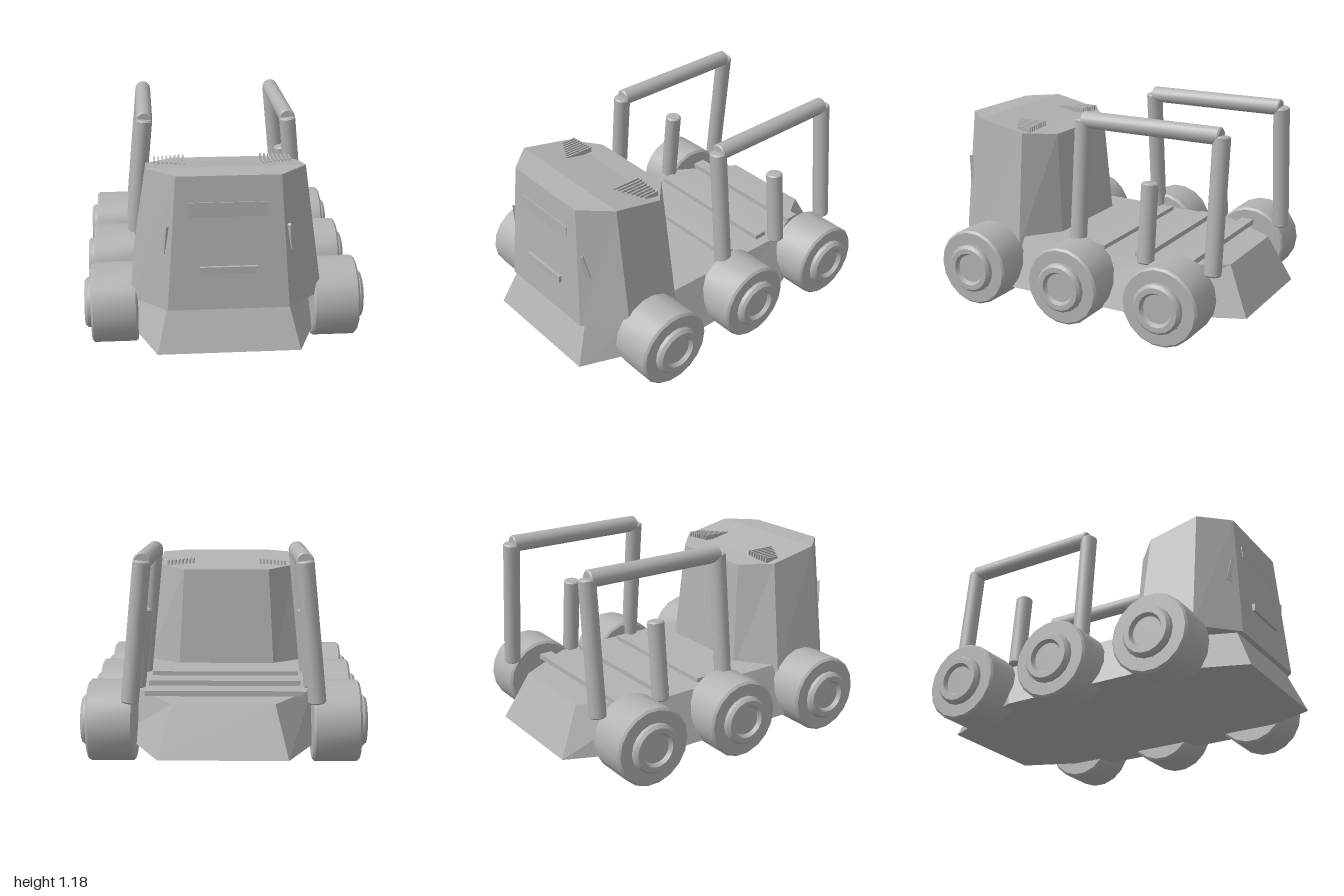
import * as THREE from 'three';
import { toCreasedNormals } from 'three/addons/utils/BufferGeometryUtils.js';

const grey = new THREE.MeshStandardMaterial({ color: 0xb2b2b2 });
grey.name = 'plain grey';

function add(parent, name, geometry) {
  const mesh = new THREE.Mesh(geometry, grey);
  mesh.name = name;
  parent.add(mesh);
  return mesh;
}

// Flat-faced solid between two mirrored outlines; each lists [x, y, z] corners of the +x half, front to back.
function loft(bottom, top) {
  const pos = [];
  const mirror = ([x, y, z]) => [-x, y, z];
  const quad = (a, b, c, d) => pos.push(...a, ...b, ...c, ...a, ...c, ...d);
  const ring = half => [...half, ...half.map(mirror).reverse()];
  const lo = ring(bottom), hi = ring(top), n = lo.length;
  for (let i = 0; i < n; i++) {
    const j = (i + 1) % n;
    quad(lo[i], lo[j], hi[j], hi[i]);
  }
  for (let i = 0; i < bottom.length - 1; i++) {
    quad(top[i], top[i + 1], mirror(top[i + 1]), mirror(top[i]));
    quad(mirror(bottom[i]), mirror(bottom[i + 1]), bottom[i + 1], bottom[i]);
  }
  const g = new THREE.BufferGeometry();
  g.setAttribute('position', new THREE.Float32BufferAttribute(pos, 3));
  g.computeVertexNormals();
  return g;
}

// Straight round bar with slightly bevelled ends
function bar(parent, name, from, to, r = 0.049) {
  const a = new THREE.Vector3(...from), b = new THREE.Vector3(...to);
  const len = a.distanceTo(b), e = 0.008;
  const profile = [[0, 0], [r - e, 0], [r, e], [r, len - e], [r - e, len], [0, len]]
    .map(p => new THREE.Vector2(...p));
  const mesh = add(parent, name, toCreasedNormals(new THREE.LatheGeometry(profile, 16), 0.6));
  mesh.position.copy(a);
  mesh.quaternion.setFromUnitVectors(new THREE.Vector3(0, 1, 0), b.sub(a).normalize());
  return mesh;
}

export function createModel() {
  const model = new THREE.Group();
  model.name = 'sixWheeledTruck';

  // Chassis
  add(model, 'chassis', loft(
    [[0.39, 0.09, 1], [0.6, 0.09, 0.44], [0.6, 0.09, -0.42], [0.35, 0.09, -1]],
    [[0.33, 0.33, 0.9], [0.5, 0.385, 0.4], [0.5, 0.37, -0.5], [0.28, 0.365, -0.865]]));

  // Cab
  add(model, 'cab', loft(
    [[0.33, 0.32, 0.937], [0.535, 0.32, 0.74], [0.535, 0.32, 0.4], [0.305, 0.32, 0.235]],
    [[0.28, 1.06, 0.89], [0.43, 1.06, 0.73], [0.43, 0.998, 0.43], [0.27, 0.98, 0.283]]));

  // Cab front details
  add(model, 'windscreenLedge', new THREE.BoxGeometry(0.42, 0.08, 0.03)).position.set(0, 0.877, 0.89);
  add(model, 'frontGrille', new THREE.BoxGeometry(0.31, 0.04, 0.03)).position.set(0, 0.545, 0.925);

  // Wheel profile: radius, distance from the inner face
  const wheelProfile = [[0, 0], [0.215, 0], [0.228, 0.012], [0.228, 0.248], [0.216, 0.26], [0.145, 0.26],
    [0.143, 0.282], [0.128, 0.298], [0.098, 0.298], [0.084, 0.275], [0, 0.275]]
    .map(p => new THREE.Vector2(...p));
  const wheelGeometry = toCreasedNormals(new THREE.LatheGeometry(wheelProfile, 18), 0.5);

  for (const side of [1, -1]) {
    const label = side > 0 ? 'left' : 'right';

    // Wheels
    ['Front', 'Middle', 'Rear'].forEach((place, i) => {
      const wheel = add(model, `${label}${place}Wheel`, wheelGeometry);
      wheel.position.set(side * 0.49, 0.228, [0.59, -0.035, -0.655][i]);
      wheel.rotation.z = -side * Math.PI / 2;
    });

    // Side hoop and short stake
    const hoop = new THREE.Group();
    hoop.name = `${label}Hoop`;
    model.add(hoop);
    for (const z of [0, -0.857]) bar(hoop, 'hoopPost', [side * 0.505, 0.37, z], [side * 0.43, 1.135, z]);
    bar(hoop, 'hoopRail', [side * 0.43, 1.132, 0], [side * 0.43, 1.132, -0.855]);
    bar(model, `${label}Stake`, [side * 0.505, 0.37, -0.445], [side * 0.46, 0.828, -0.445]);

    // Slanted marker on the cab corner
    const marker = new THREE.Shape([[0.004, 0.077], [-0.008, 0.07], [-0.016, -0.07], [0.016, -0.077]]
      .map(p => new THREE.Vector2(...p)));
    const geometry = new THREE.ExtrudeGeometry(marker, { depth: 0.03, bevelEnabled: false });
    geometry.translate(0, 0, -0.018);
    const mesh = add(model, `${label}CornerMarker`, geometry);
    mesh.position.set(side * 0.335, 0.71, 0.882);
    mesh.rotation.set(0, side * Math.PI / 4, side * 0.2, 'YXZ');

    // Roof vent slats, longer toward the middle
    for (let i = 0; i < 8; i++) {
      const len = 0.09 + i * 0.013;
      add(model, `${label}VentSlat`, new THREE.BoxGeometry(0.009, 0.03, len))
        .position.set(side * (0.38 - i * 0.023), 1.01 + i * 0.0015, 0.405 + len / 2);
    }
  }

  // Deck strips
  for (const z of [-0.66, -0.38, -0.1]) {
    add(model, 'deckStrip', new THREE.BoxGeometry(0.88, 0.03, 0.08)).position.set(0, 0.386, z);
  }
  return model;
}
